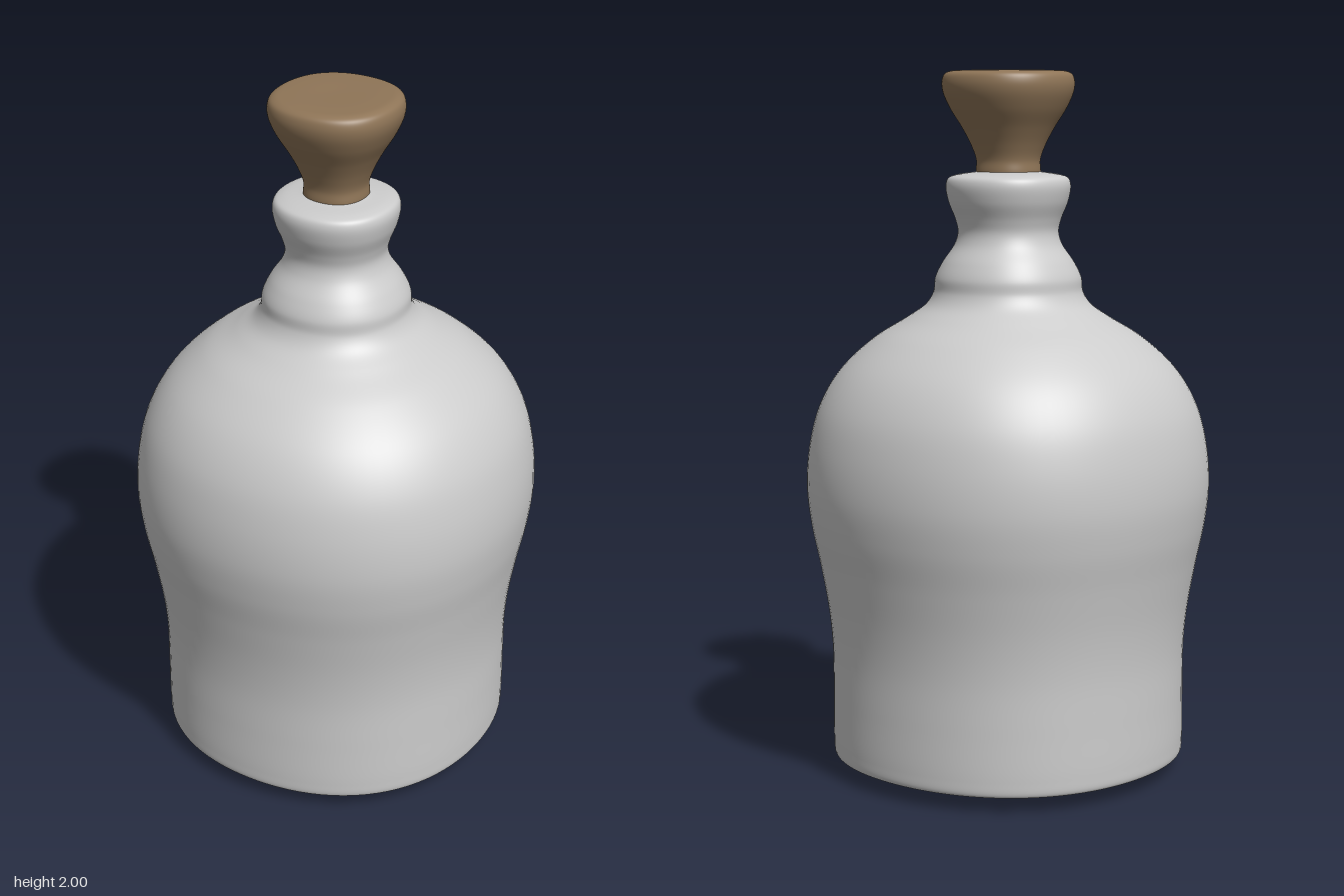
import * as THREE from 'three';
import { mergeVertices } from 'three/addons/utils/BufferGeometryUtils.js';

// Turned solid with a softly squared cross-section; profile is [radius, height] from bottom to top
function turned(name, profile, squareness, steps, color) {
  const curve = new THREE.CatmullRomCurve3(
    profile.map(([r, y]) => new THREE.Vector3(r, y, 0)), false, 'centripetal');
  const points = curve.getPoints(steps).map(p => new THREE.Vector2(Math.max(p.x, 0), Math.max(p.y, 0)));
  points[0].x = 0;
  points[points.length - 1].x = 0;

  let geometry = new THREE.LatheGeometry(points, 96);
  const pos = geometry.attributes.position;
  for (let i = 0; i < pos.count; i++) {
    const x = pos.getX(i), z = pos.getZ(i);
    const swell = 1 + squareness * (1 - Math.cos(4 * Math.atan2(z, x))) / 2;
    pos.setX(i, x * swell);
    pos.setZ(i, z * swell);
  }
  // Weld the seam so the shading is continuous
  geometry.deleteAttribute('uv');
  geometry.deleteAttribute('normal');
  geometry = mergeVertices(geometry, 1e-5);
  geometry.computeVertexNormals();

  const mesh = new THREE.Mesh(geometry, new THREE.MeshStandardMaterial({ color }));
  mesh.name = name;
  return mesh;
}

export function createModel() {
  const group = new THREE.Group();
  group.name = 'stopperedBottle';

  // Bottle: bulging underside, straight foot, round shoulder, collar, neck and lip
  group.add(turned('bottle', [
    [0, 0.012], [0.12, 0.008], [0.24, 0], [0.32, 0.015], [0.4, 0.036], [0.465, 0.043],
    [0.484, 0.045], [0.49, 0.052], [0.493, 0.09],
    [0.493, 0.22], [0.494, 0.36], [0.504, 0.47], [0.526, 0.6], [0.55, 0.72], [0.561, 0.83],
    [0.552, 0.95], [0.523, 1.06], [0.465, 1.16], [0.37, 1.25], [0.28, 1.307], [0.228, 1.345],
    [0.207, 1.38], [0.202, 1.42], [0.182, 1.463], [0.148, 1.515], [0.139, 1.55], [0.146, 1.585],
    [0.165, 1.635], [0.172, 1.68], [0.165, 1.7], [0.145, 1.709], [0.1, 1.716], [0.085, 1.718], [0, 1.718],
  ], 0.028, 240, 0xcccccc));

  // Flared stopper with a flat top
  group.add(turned('stopper', [
    [0, 1.68], [0.08, 1.68], [0.088, 1.715], [0.087, 1.75], [0.1, 1.79], [0.125, 1.84],
    [0.158, 1.895], [0.177, 1.94], [0.18, 1.968], [0.174, 1.988], [0.16, 1.997], [0.13, 2], [0, 2],
  ], 0.04, 100, 0x8f7557));

  return group;
}
